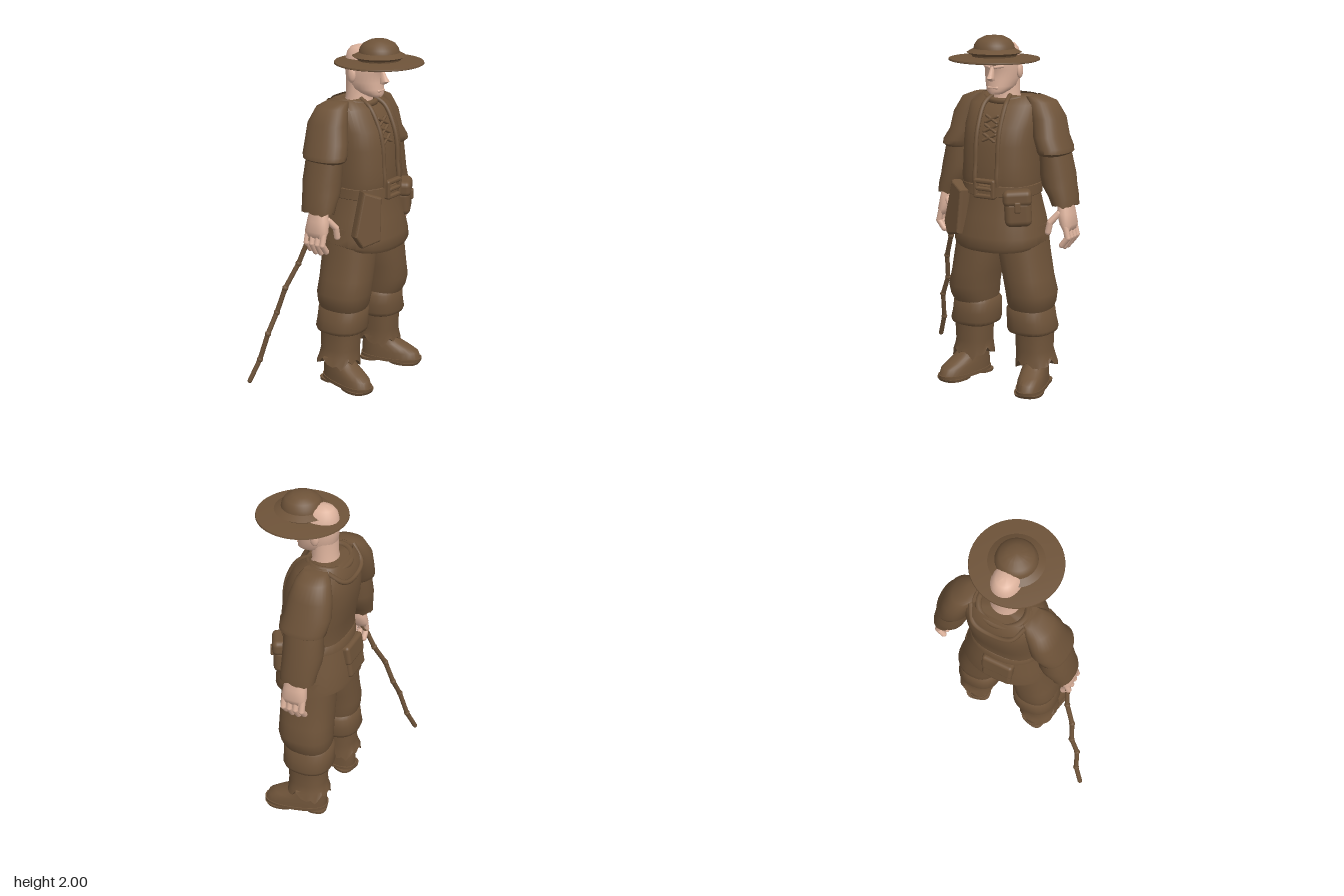
import * as THREE from 'three';
import { toCreasedNormals } from 'three/addons/utils/BufferGeometryUtils.js';
import { RoundedBoxGeometry } from 'three/addons/geometries/RoundedBoxGeometry.js';

const cloth = new THREE.MeshStandardMaterial({ color: 0x6e5339, side: THREE.DoubleSide });
cloth.name = 'brown cloth';
const skin = new THREE.MeshStandardMaterial({ color: 0xdcb29c });
skin.name = 'skin';

const V = (x, y, z) => new THREE.Vector3(x, y, z);

// Point at angle a on a rounded ring [x, y, zBack, zFront, halfWidth, tilt]
function ringPoint([x, y, z0, z1, rx, tilt = 0], a, n, jag = 0) {
  const f = (v) => Math.sign(v) * Math.abs(v) ** (2 / n);
  const c = f(Math.cos(a)), s = f(Math.sin(a));
  return V(x + rx * c, y + tilt * s + jag * Math.sin(a * 7) * Math.sin(a * 3 + 1), (z0 + z1) / 2 + ((z1 - z0) / 2) * s);
}

// Skin listed top to bottom; gap leaves an opening at the front, jag tears the hem
function loft(name, rings, mat, { n = 2.4, segs = 28, gap = 0, jag = 0, crease = 0.8 } = {}) {
  const list = [...rings].reverse(), pos = [], idx = [], w = segs + 1;
  list.forEach((r, i) => {
    for (let j = 0; j <= segs; j++) {
      const a = Math.PI / 2 + gap + (j / segs) * (Math.PI * 2 - gap * 2);
      pos.push(...ringPoint(r, a, n, i === 0 ? jag : 0).toArray());
    }
  });
  for (let i = 0; i < list.length - 1; i++) for (let j = 0; j < segs; j++) {
    const p = i * w + j, u = p + w;
    idx.push(p, u, p + 1, p + 1, u, u + 1);
  }
  if (!gap) [0, list.length - 1].forEach((i) => {
    const [x, y, z0, z1] = list[i], c = pos.length / 3;
    pos.push(x, y, (z0 + z1) / 2);
    for (let j = 0; j < segs; j++) {
      const p = i * w + j;
      if (i === 0) idx.push(c, p, p + 1); else idx.push(c, p + 1, p);
    }
  });
  const g = new THREE.BufferGeometry();
  g.setAttribute('position', new THREE.Float32BufferAttribute(pos, 3));
  g.setIndex(idx);
  return mesh(name, toCreasedNormals(g, crease), mat);
}

function mesh(name, geo, mat, x = 0, y = 0, z = 0) {
  const m = new THREE.Mesh(geo, mat);
  m.name = name;
  m.position.set(x, y, z);
  return m;
}

// Chain of rounded segments through points
function chain(name, pts, r, mat) {
  const g = new THREE.Group();
  g.name = name;
  for (let i = 1; i < pts.length; i++) {
    const d = pts[i].clone().sub(pts[i - 1]);
    const m = mesh(name + 'Segment', new THREE.CapsuleGeometry(r, d.length(), 4, 10), mat);
    m.position.copy(pts[i]).add(pts[i - 1]).multiplyScalar(0.5);
    m.quaternion.setFromUnitVectors(V(0, 1, 0), d.normalize());
    g.add(m);
  }
  return g;
}

const tube = (name, pts, r, mat, closed = false) =>
  mesh(name, new THREE.TubeGeometry(new THREE.CatmullRomCurve3(pts, closed), 40, r, 8, closed), mat);

function makeHead() {
  const g = new THREE.Group();
  g.name = 'head';
  g.add(loft('skull', [
    [0, 1.957, -0.04, 0.01, 0.02], [0, 1.945, -0.075, 0.05, 0.05], [0, 1.92, -0.095, 0.09, 0.072],
    [0, 1.87, -0.107, 0.128, 0.087], [0, 1.83, -0.107, 0.132, 0.09], [0, 1.81, -0.105, 0.122, 0.09],
    [0, 1.76, -0.1, 0.123, 0.086], [0, 1.72, -0.08, 0.125, 0.076], [0, 1.695, -0.01, 0.127, 0.06],
    [0, 1.677, 0.04, 0.12, 0.035]], skin, { n: 2.2, crease: 1.2 }));
  g.add(loft('neck', [[0, 1.77, -0.1, 0.05, 0.078], [0, 1.68, -0.1, 0.04, 0.078], [0, 1.6, -0.12, 0.06, 0.09]], skin, { n: 2 }));
  g.add(loft('nose', [[0, 1.83, 0.11, 0.135, 0.01], [0, 1.79, 0.11, 0.158, 0.013], [0, 1.768, 0.11, 0.173, 0.02],
    [0, 1.752, 0.11, 0.15, 0.016]], skin, { n: 2, segs: 12 }));
  g.add(chain('lips', [V(-0.025, 1.713, 0.119), V(0.025, 1.713, 0.119)], 0.008, skin));
  for (const s of [-1, 1]) {
    g.add(chain('browRidge', [V(s * 0.018, 1.826, 0.126), V(s * 0.055, 1.832, 0.11)], 0.009, skin));
    const ear = mesh('ear', new THREE.SphereGeometry(1, 14, 10), skin, s * 0.095, 1.8, -0.012);
    ear.scale.set(0.016, 0.042, 0.025);
    g.add(ear);
  }
  return g;
}

function makeHat() {
  const profile = [[0, 2], [0.05, 1.995], [0.09, 1.975], [0.108, 1.95], [0.113, 1.928], [0.132, 1.918], [0.15, 1.908],
    [0.137, 1.9], [0.122, 1.893], [0.12, 1.885], [0.18, 1.883], [0.248, 1.876], [0.25, 1.868], [0.24, 1.864], [0.12, 1.872]];
  const geo = new THREE.LatheGeometry(profile.reverse().map((p) => new THREE.Vector2(...p)), 48);
  return mesh('hat', toCreasedNormals(geo, 0.8), cloth, 0, 0, 0.105);
}

function makeTorso() {
  const g = new THREE.Group();
  g.name = 'torso';
  const vest = [
    [0, 1.665, -0.155, 0.02, 0.16], [0, 1.62, -0.19, 0.1, 0.21], [0, 1.5, -0.207, 0.165, 0.217],
    [0, 1.4, -0.2, 0.187, 0.217], [0, 1.3, -0.182, 0.192, 0.215], [0, 1.22, -0.17, 0.2, 0.217], [0, 1.18, -0.17, 0.195, 0.215]];
  g.add(loft('shirt', vest.map(([x, y, a, b, r]) => [x, y - 0.012, a + 0.015, b - 0.02, r - 0.015]), cloth, { n: 2.6 }));
  g.add(loft('vest', vest, cloth, { n: 2.6, gap: 0.23, segs: 36 }));
  for (const s of [-1, 1])
    g.add(tube('vestEdge', vest.map((r) => ringPoint(r, Math.PI / 2 - s * 0.23, 2.6)), 0.013, cloth));
  // Rolled collar sagging at the back
  const collar = [];
  for (let i = 0; i < 16; i++) {
    const a = (i / 16) * Math.PI * 2, s = Math.sin(a);
    collar.push(V(0.135 * Math.cos(a), 1.652 - 0.02 * s * s, -0.06 + (s > 0 ? 0.115 : 0.105) * s));
  }
  g.add(tube('collar', collar, 0.018, cloth, true));
  g.add(tube('backYoke', [V(-0.16, 1.655, -0.12), V(-0.11, 1.59, -0.19), V(0, 1.565, -0.203), V(0.11, 1.59, -0.19), V(0.16, 1.655, -0.12)], 0.014, cloth));
  // Laces down the shirt
  for (let i = 0; i < 3; i++) for (const s of [-1, 1]) {
    const y = 1.56 - i * 0.05, z = 0.126 + i * 0.014;
    g.add(chain('lace', [V(-s * 0.035, y, z), V(s * 0.035, y - 0.035, z + 0.012)], 0.009, cloth));
  }
  // Flared skirt of the tunic, with an under layer
  g.add(loft('tunicSkirt', [
    [0, 1.2, -0.155, 0.185, 0.2], [0, 1.1, -0.18, 0.195, 0.215], [0, 1, -0.2, 0.212, 0.24],
    [0, 0.9, -0.215, 0.235, 0.262, -0.01], [0, 0.86, -0.215, 0.238, 0.268, -0.025], [0, 0.845, -0.2, 0.225, 0.255, -0.035]], cloth));
  g.add(loft('underSkirt', [[0, 0.92, -0.18, 0.2, 0.23], [0, 0.85, -0.19, 0.21, 0.245, -0.02], [0, 0.83, -0.17, 0.19, 0.23, -0.02]], cloth));
  g.add(loft('belt', [[0, 1.185, -0.17, 0.197, 0.214], [0, 1.18, -0.175, 0.203, 0.22], [0, 1.125, -0.182, 0.207, 0.223], [0, 1.12, -0.17, 0.195, 0.215]], cloth));
  return g;
}

function makeBeltGear() {
  const g = new THREE.Group();
  g.name = 'beltGear';
  // Square buckle frame with a bar
  for (const s of [-1, 1]) {
    g.add(mesh('buckleSide', new RoundedBoxGeometry(0.025, 0.105, 0.035, 2, 0.01), cloth, s * 0.055, 1.165, 0.205));
    g.add(mesh('buckleRail', new RoundedBoxGeometry(0.13, 0.025, 0.035, 2, 0.01), cloth, 0, 1.165 + s * 0.042, 0.205));
  }
  g.add(mesh('bucklePin', new RoundedBoxGeometry(0.1, 0.02, 0.04, 2, 0.008), cloth, 0, 1.165, 0.205));
  // Pouch with flap on the left hip
  const pouch = new THREE.Group();
  pouch.name = 'hipPouch';
  pouch.add(mesh('pouchBody', new RoundedBoxGeometry(0.15, 0.15, 0.09, 3, 0.035), cloth, 0, -0.04, 0));
  pouch.add(mesh('pouchFlap', new RoundedBoxGeometry(0.16, 0.09, 0.1, 3, 0.03), cloth, 0, 0.045, 0));
  pouch.add(mesh('pouchTab', new RoundedBoxGeometry(0.035, 0.06, 0.02, 2, 0.008), cloth, 0, 0, 0.05));
  pouch.position.set(0.18, 1.08, 0.155);
  pouch.rotation.set(0, 0.5, 0.06);
  g.add(pouch);
  // Slack bag on the right hip
  const shape = new THREE.Shape([[-0.02, 0.14], [0.07, 0.1], [0.05, -0.13], [-0.05, -0.15], [-0.085, -0.09]].map((p) => new THREE.Vector2(...p)));
  const bag = mesh('slackBag', new THREE.ExtrudeGeometry(shape, { depth: 0.03, bevelSize: 0.012, bevelThickness: 0.02, bevelSegments: 3 }), cloth, -0.19, 1.03, 0.155);
  bag.rotation.set(-0.08, -0.5, 0);
  g.add(bag);
  // Flat satchel at the back
  const satchel = new THREE.Group();
  satchel.name = 'backSatchel';
  satchel.add(mesh('satchelBody', new RoundedBoxGeometry(0.18, 0.2, 0.05, 3, 0.02), cloth));
  satchel.add(mesh('satchelFlap', new RoundedBoxGeometry(0.19, 0.12, 0.06, 3, 0.02), cloth, 0, 0.045, 0));
  satchel.position.set(-0.02, 1.02, -0.19);
  satchel.rotation.x = 0.15;
  g.add(satchel);
  return g;
}

function makeArm(s) {
  const g = new THREE.Group(), m = (rs) => rs.map(([x, ...r]) => [s * x, ...r]);
  g.name = s > 0 ? 'leftArm' : 'rightArm';
  g.add(loft('upperSleeve', m([
    [0.17, 1.662, -0.12, 0.01, 0.045], [0.21, 1.635, -0.155, 0.03, 0.075], [0.25, 1.55, -0.185, 0.055, 0.085],
    [0.268, 1.45, -0.192, 0.07, 0.088], [0.3, 1.39, -0.182, 0.087, 0.09], [0.305, 1.365, -0.178, 0.087, 0.088], [0.3, 1.35, -0.16, 0.07, 0.075]]), cloth, { n: 2.2 }));
  g.add(loft('lowerSleeve', m([
    [0.3, 1.38, -0.16, 0.06, 0.075], [0.318, 1.24, -0.168, 0.06, 0.093], [0.33, 1.18, -0.162, 0.06, 0.09],
    [0.358, 1.12, -0.15, 0.058, 0.075], [0.372, 1.075, -0.145, 0.055, 0.064]]), cloth, { n: 2.2, jag: 0.01 }));
  g.add(loft('palm', m([
    [0.375, 1.12, -0.08, 0.005, 0.038], [0.383, 1.03, -0.1, 0.03, 0.045], [0.398, 0.97, -0.108, 0.038, 0.038],
    [0.405, 0.935, -0.1, 0.03, 0.02]]), skin, { crease: 1.3 }));
  [-0.09, -0.053, -0.016, 0.02].forEach((z, i) => g.add(chain('finger', [
    V(s * 0.405, 0.96, z), V(s * 0.42, 0.9, z), V(s * 0.385, i % 3 ? 0.843 : 0.855, z)], 0.017, skin)));
  g.add(chain('thumb', [V(s * 0.36, 1.03, 0.015), V(s * 0.32, 0.98, 0.04), V(s * 0.308, 0.925, 0.04)], 0.018, skin));
  return g;
}

function makeLeg(s) {
  const g = new THREE.Group(), m = (rs) => rs.map(([x, ...r]) => [s * x, ...r]);
  g.name = s > 0 ? 'leftLeg' : 'rightLeg';
  g.add(loft('trouser', m([
    [0.128, 0.95, -0.15, 0.15, 0.125], [0.14, 0.8, -0.15, 0.16, 0.135], [0.168, 0.65, -0.152, 0.16, 0.132],
    [0.188, 0.56, -0.155, 0.158, 0.135], [0.186, 0.5, -0.152, 0.145, 0.128], [0.182, 0.46, -0.14, 0.125, 0.115]]), cloth));
  g.add(loft('kneeCuff', m([
    [0.175, 0.48, -0.14, 0.12, 0.115], [0.175, 0.46, -0.155, 0.132, 0.128], [0.18, 0.4, -0.158, 0.13, 0.132],
    [0.187, 0.35, -0.162, 0.132, 0.138], [0.187, 0.33, -0.155, 0.125, 0.132], [0.187, 0.318, -0.13, 0.1, 0.11]]), cloth));
  g.add(loft('trouserHem', m([
    [0.2, 0.34, -0.13, 0.1, 0.105], [0.2, 0.22, -0.128, 0.095, 0.1], [0.205, 0.18, -0.135, 0.095, 0.105],
    [0.21, 0.14, -0.148, 0.1, 0.115]]), cloth, { jag: 0.035 }));
  // Boot turned outward
  const boot = new THREE.Group();
  boot.name = 'boot';
  boot.add(loft('bootUpper', [
    [0, 0.24, -0.1, 0.07, 0.072], [0, 0.15, -0.105, 0.085, 0.068], [0, 0.12, -0.115, 0.13, 0.07],
    [0, 0.095, -0.12, 0.185, 0.073], [0, 0.07, -0.122, 0.23, 0.077], [0, 0.03, -0.122, 0.245, 0.079]], cloth));
  boot.add(loft('sole', [[0, 0.034, -0.128, 0.252, 0.084], [0, 0.015, -0.128, 0.25, 0.084]], cloth));
  boot.add(loft('solePad', [[0, 0.016, 0.04, 0.25, 0.083], [0, 0, 0.05, 0.24, 0.08]], cloth));
  boot.add(loft('heel', [[0, 0.016, -0.127, 0, 0.078], [0, 0, -0.125, -0.005, 0.076]], cloth, { n: 3 }));
  boot.position.set(s * 0.213, 0, -0.008);
  boot.rotation.y = s * 0.25;
  g.add(boot);
  return g;
}

// Crooked walking stick with knots at its bends
function makeStick() {
  const g = new THREE.Group();
  g.name = 'walkingStick';
  const pts = [V(-0.4, 0.96, -0.05), V(-0.412, 0.9, -0.09), V(-0.437, 0.77, -0.135), V(-0.497, 0.63, -0.185), V(-0.52, 0.48, -0.23),
    V(-0.573, 0.36, -0.255), V(-0.594, 0.2, -0.3), V(-0.643, 0.075, -0.338)];
  g.add(chain('stickShaft', pts, 0.014, cloth));
  pts.slice(2, -1).forEach((p) => g.add(mesh('knot', new THREE.SphereGeometry(0.018, 10, 8), cloth, p.x, p.y, p.z)));
  return g;
}

export function createModel() {
  const root = new THREE.Group(), body = new THREE.Group();
  root.name = 'wanderer';
  body.name = 'figure';
  body.position.x = 0.11;
  body.add(makeHead(), makeHat(), makeTorso(), makeBeltGear(), makeStick());
  for (const s of [-1, 1]) body.add(makeArm(s), makeLeg(s));
  root.add(body);
  return root;
}
